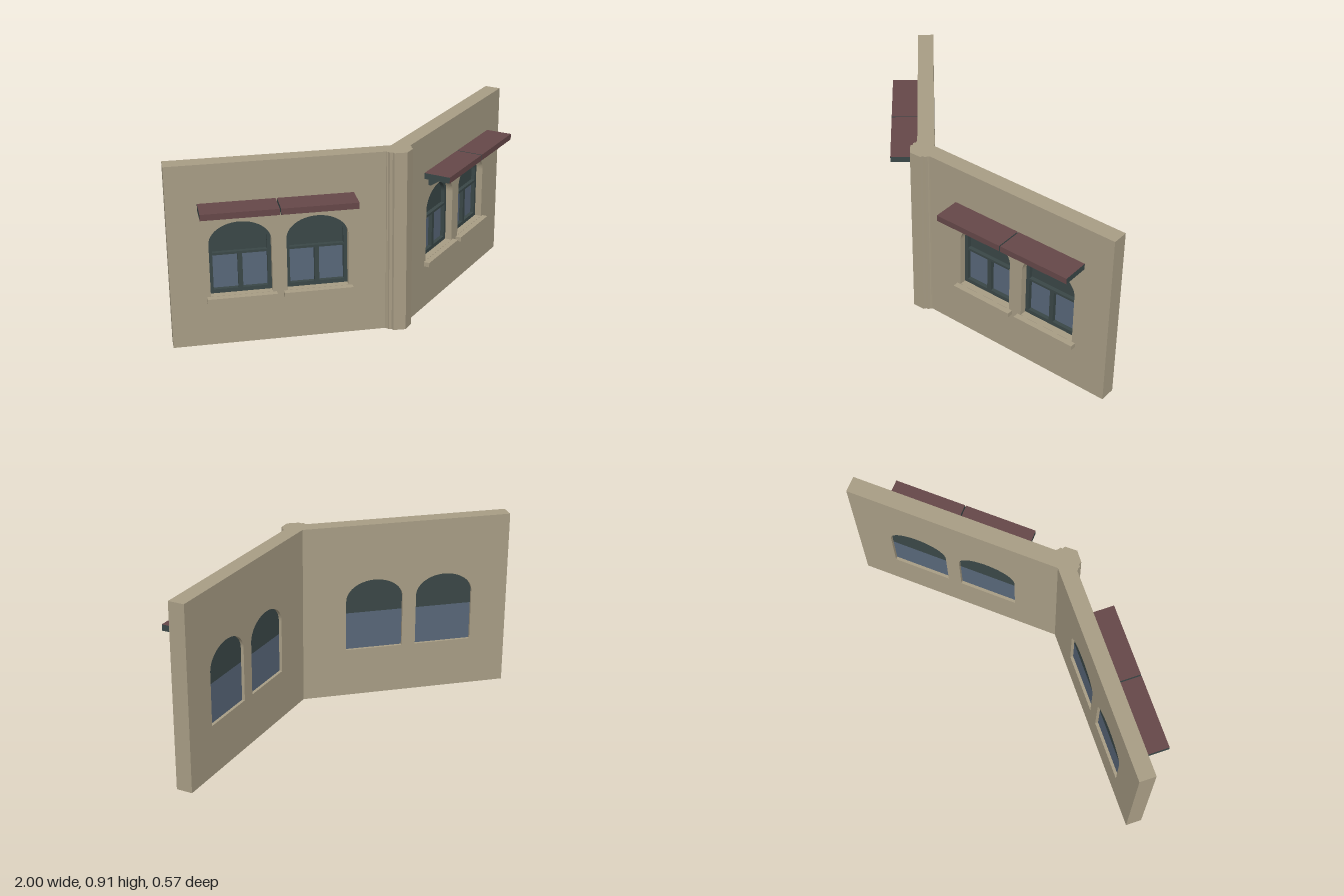
import * as THREE from 'three';

const stone = new THREE.MeshStandardMaterial({ name: 'sandstone', color: 0xa89d85 });
const roofRed = new THREE.MeshStandardMaterial({ name: 'maroon roof', color: 0x664849 });
const dark = new THREE.MeshStandardMaterial({ name: 'dark green frame', color: 0x3a4747 });
const pane = new THREE.MeshStandardMaterial({ name: 'blue glass', color: 0x586779 });

const HEIGHT = 0.91, LENGTH = 1.1007, THICK = 0.08, ANGLE = 0.4313, FRONT_Z = 0.248;
const HALF = 0.1465, BOTTOM = 0.25, SPRING = 0.515, RISE = 0.105;
const WINDOWS = [0.404, 0.767];

function mesh(name, geometry, material, parent) {
  const m = new THREE.Mesh(geometry, material);
  m.name = name;
  parent.add(m);
  return m;
}

function box(name, w, h, d, x, y, z, material, parent) {
  const m = mesh(name, new THREE.BoxGeometry(w, h, d), material, parent);
  m.position.set(x, y, z);
  return m;
}

// Straight jambs with a flattened elliptical head
function arch(Type, cx, half, bottom, rise) {
  const s = new Type();
  s.moveTo(cx - half, bottom);
  s.lineTo(cx + half, bottom);
  s.lineTo(cx + half, SPRING);
  s.absellipse(cx, SPRING, half, rise, 0, Math.PI, false);
  s.lineTo(cx - half, bottom);
  return s;
}

function rectHole(x0, x1, y0, y1) {
  return new THREE.Path([[x0, y0], [x1, y0], [x1, y1], [x0, y1]].map(p => new THREE.Vector2(...p)));
}

function extrude(shape, depth, z) {
  return new THREE.ExtrudeGeometry(shape, { depth, bevelEnabled: false, curveSegments: 20 }).translate(0, 0, z);
}

function makeWall(side) {
  const shape = new THREE.Shape(
    [[0, 0], [side * LENGTH, 0], [side * LENGTH, HEIGHT], [0, HEIGHT]].map(p => new THREE.Vector2(...p)));
  for (const c of WINDOWS) shape.holes.push(arch(THREE.Path, side * c, HALF, BOTTOM, RISE));
  const g = extrude(shape, THICK, -THICK);
  // Mitre the inner end so both wings meet at the corner
  const p = g.attributes.position;
  for (let i = 0; i < p.count; i++) {
    if (Math.abs(p.getX(i)) < 1e-4 && p.getZ(i) < -0.04) p.setX(i, side * THICK * Math.tan(ANGLE));
  }
  g.computeVertexNormals();
  return g;
}

function makeWindow() {
  const w = new THREE.Group();
  w.name = 'window';
  // Frame with two lower lights and an arched upper light
  const inner = HALF - 0.018;
  const frame = arch(THREE.Shape, 0, HALF, BOTTOM, RISE);
  frame.holes.push(
    rectHole(-inner, -0.011, 0.27, 0.444),
    rectHole(0.011, inner, 0.27, 0.444),
    arch(THREE.Path, 0, inner, 0.456, RISE - 0.018));
  mesh('windowFrame', extrude(frame, 0.02, -0.055), dark, w);
  mesh('upperPanel', extrude(arch(THREE.Shape, 0, HALF, 0.445, RISE), 0.01, -0.065), dark, w);
  box('lowerGlass', HALF * 2, 0.195, 0.01, 0, 0.3475, -0.06, pane, w);
  // Sill with a thin bed moulding under it
  box('sill', 0.33, 0.023, 0.03, 0, 0.2375, 0.015, stone, w);
  box('sillMoulding', 0.30, 0.006, 0.02, 0, 0.223, 0.01, stone, w);
  return w;
}

// Triangular support, profile runs from the wall outwards
function makeBracket() {
  const s = new THREE.Shape(
    [[0, 0.645], [0.014, 0.645], [0.085, 0.692], [0, 0.692]].map(p => new THREE.Vector2(...p)));
  return extrude(s, 0.016, -0.008).rotateY(-Math.PI / 2);
}

function makeWing(side) {
  const wing = new THREE.Group();
  wing.name = side > 0 ? 'leftWing' : 'rightWing';
  wing.position.z = FRONT_Z;
  wing.rotation.y = side * ANGLE;
  mesh('wall', makeWall(side), stone, wing);
  for (const c of WINDOWS) {
    const w = makeWindow();
    w.position.x = side * c;
    wing.add(w);
  }
  // Awning slabs: dark ends and underside, red top and front
  for (const [a, b] of [[0.23, 0.59], [0.596, 0.957]]) {
    box('awning', b - a, 0.03, 0.135, side * (a + b) / 2, 0.707, 0.0675,
      [dark, dark, roofRed, dark, roofRed, roofRed], wing);
  }
  for (const s of [0.282, 0.523, 0.651, 0.892]) {
    mesh('awningBracket', makeBracket(), dark, wing).position.x = side * s;
  }
  return wing;
}

export function createModel() {
  const model = new THREE.Group();
  model.name = 'cornerFacade';
  model.add(makeWing(1), makeWing(-1));

  // Stepped corner pilaster, plan drawn as (x, z) and mirrored
  const half = [[0, 0.285], [0.054, 0.258], [0.054, 0.244], [0.066, 0.238], [0.066, 0.225], [0.07, 0.222], [0.07, 0.2]];
  const plan = [...half, ...half.slice(1).reverse().map(([x, z]) => [-x, z])];
  const shape = new THREE.Shape(plan.map(([x, z]) => new THREE.Vector2(x, -z)));
  mesh('cornerPilaster', extrude(shape, HEIGHT, 0).rotateX(-Math.PI / 2), stone, model);
  return model;
}
